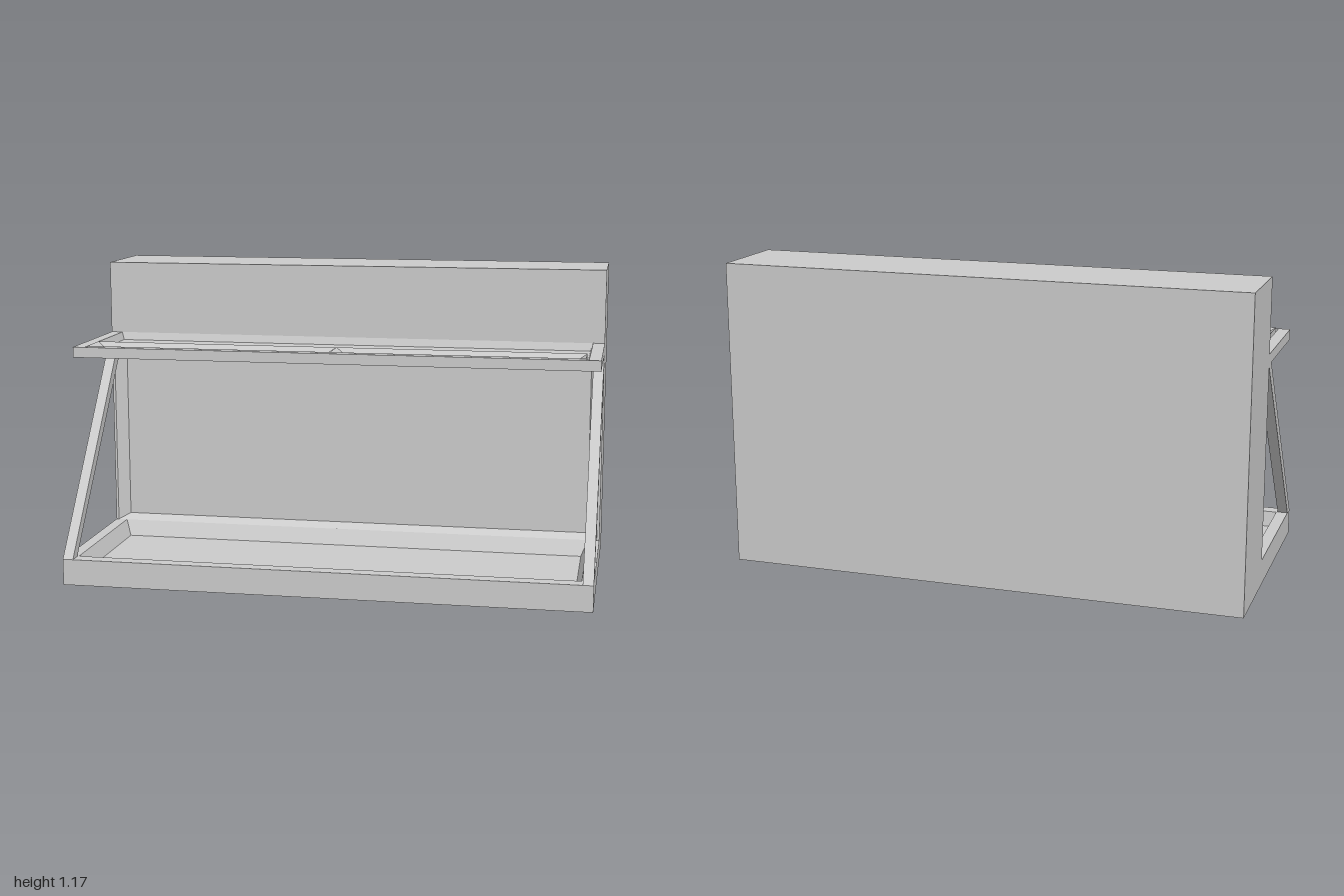
import * as THREE from 'three';

const material = new THREE.MeshStandardMaterial({ color: 0xcccccc, flatShading: true, side: THREE.DoubleSide });

// Closed solid skinned over rectangular rings [x0, x1, z0, z1, y], from the base outwards.
// Rings that step inwards and down again form a recess with sloping walls.
function loft(rings) {
  const corners = rings.map(([x0, x1, z0, z1, y]) => [[x0, y, z1], [x1, y, z1], [x1, y, z0], [x0, y, z0]]);
  const positions = [];
  const quad = (a, b, c, d) => positions.push(...a, ...b, ...c, ...a, ...c, ...d);
  for (let r = 0; r < corners.length - 1; r++) {
    const low = corners[r], high = corners[r + 1];
    for (let i = 0; i < 4; i++) {
      const j = (i + 1) % 4;
      quad(low[i], low[j], high[j], high[i]);
    }
  }
  const [a, b, c, d] = corners[0];
  quad(d, c, b, a);
  quad(...corners[corners.length - 1]);
  const geometry = new THREE.BufferGeometry();
  geometry.setAttribute('position', new THREE.Float32BufferAttribute(positions, 3));
  geometry.computeVertexNormals();
  return geometry;
}

export function createModel() {
  const model = new THREE.Group();
  model.name = 'wallUnitWithShelf';
  const add = (name, geometry) => {
    const mesh = new THREE.Mesh(geometry, material);
    mesh.name = name;
    model.add(mesh);
    return mesh;
  };

  // Tall cabinet with a shallow bevelled panel in its front, lofted from back to front
  add('cabinet', loft([
    [-1, 1, -1.175, 0, -0.5],
    [-1, 1, -1.175, 0, -0.15],
    [-0.99, 0.99, -0.85, -0.1, -0.15],
    [-0.95, 0.95, -0.82, -0.12, -0.19],
  ]).rotateX(Math.PI / 2));

  // Base tray with a sunken floor
  add('baseTray', loft([
    [-1, 1, -0.15, 0.5, 0],
    [-1, 1, -0.15, 0.5, 0.1],
    [-0.955, 0.955, -0.15, 0.445, 0.1],
    [-0.93, 0.93, -0.12, 0.435, 0.04],
  ]));

  // Shelf with a raised rim
  add('shelf', loft([
    [-1, 1, -0.15, 0.32, 0.85],
    [-1, 1, -0.15, 0.32, 0.89],
    [-0.955, 0.955, -0.15, 0.315, 0.89],
    [-0.945, 0.945, -0.14, 0.31, 0.86],
  ]));

  // Two shallow dishes side by side along the front of the shelf
  for (const [name, x] of [['rightDish', -0.4725], ['leftDish', 0.4725]]) {
    add(name, loft([
      [-0.4725, 0.4725, 0.17, 0.315, 0.86],
      [-0.4725, 0.4725, 0.18, 0.312, 0.895],
      [-0.4425, 0.4425, 0.195, 0.3, 0.875],
    ])).position.x = x;
  }

  // Diagonal struts from the front of the tray up to the back of the shelf
  const profile = new THREE.Shape([[-0.5, 0.1], [-0.45, 0.1], [0.15, 0.84], [0.15, 0.85], [0.105, 0.85]]
    .map(([u, v]) => new THREE.Vector2(u, v)));
  const strut = new THREE.ExtrudeGeometry(profile, { depth: 0.04, bevelEnabled: false }).rotateY(Math.PI / 2);
  add('rightStrut', strut).position.x = -1;
  add('leftStrut', strut).position.x = 0.96;

  return model;
}
